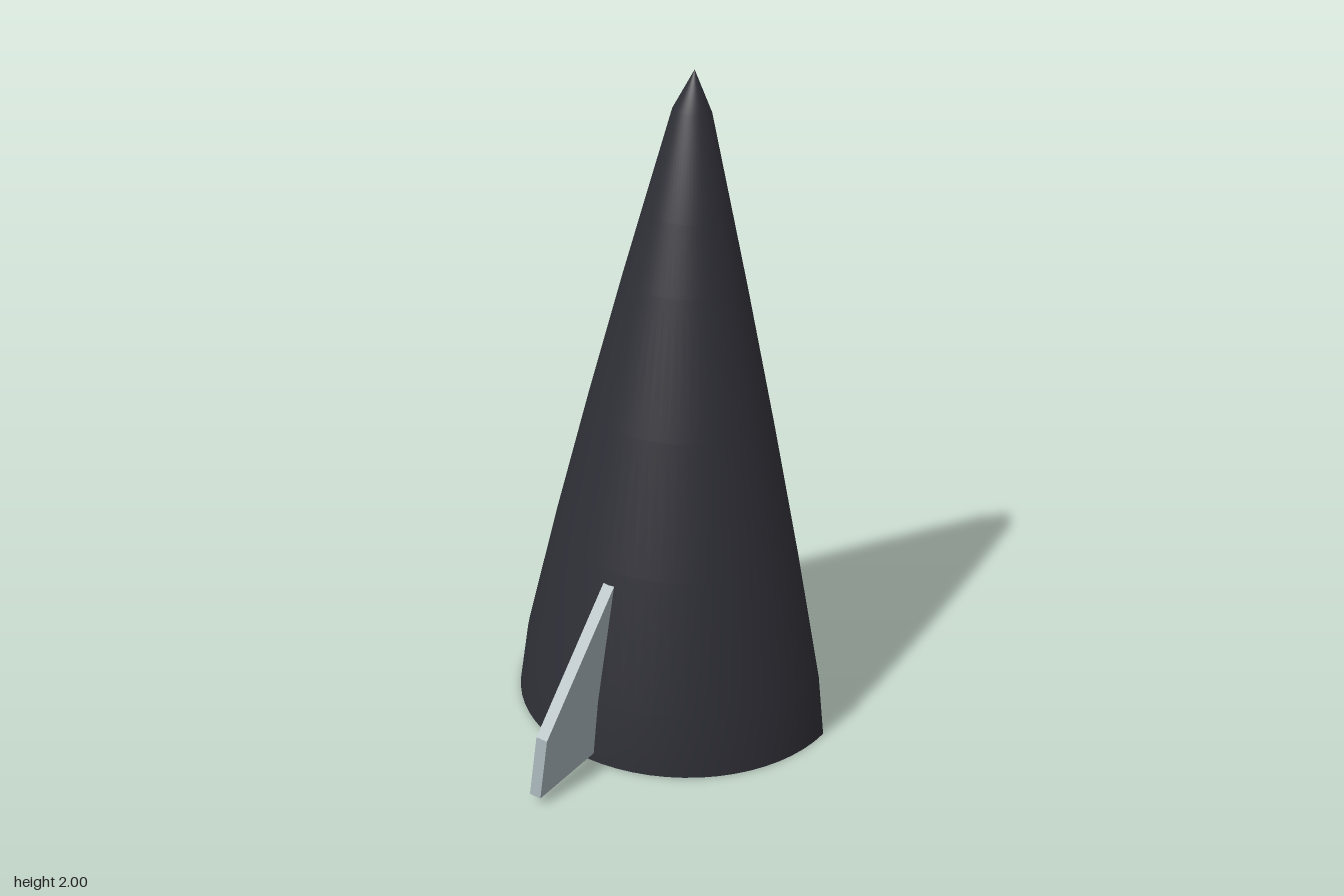
import * as THREE from 'three';

const AXIS_Z = -0.39; // centre line of the half cone

export function createModel() {
  const model = new THREE.Group();
  model.name = 'halfNoseCone';

  const shellMaterial = new THREE.MeshStandardMaterial({ color: 0x2e2e36, side: THREE.DoubleSide });
  shellMaterial.name = 'dark charcoal';
  const finMaterial = new THREE.MeshStandardMaterial({ color: 0xa3afb3 });
  finMaterial.name = 'pale grey';

  // Open half shell: profile of [radius, height], revolved over the front half
  const profile = [
    [0.52, 0], [0.493, 0.2], [0.4, 0.6], [0.3, 1.0],
    [0.195, 1.4], [0.14, 1.6], [0.06, 1.89], [0, 2],
  ].map(([r, y]) => new THREE.Vector2(r, y));
  const shell = new THREE.Mesh(
    new THREE.LatheGeometry(profile, 32, -Math.PI / 2, Math.PI), shellMaterial);
  shell.name = 'coneShell';
  shell.position.z = AXIS_Z;
  model.add(shell);

  // Swept fin that passes through the shell: outline of [z, y]
  const outline = [
    [0.392, 0.025], [0.355, 0.205], [-0.13, 0.715], [-0.21, 0.715], [0.075, 0.025],
  ].map(([z, y]) => new THREE.Vector2(z, y));
  const thickness = 0.038;
  const finGeometry = new THREE.ExtrudeGeometry(new THREE.Shape(outline), {
    depth: thickness, bevelEnabled: false,
  });
  finGeometry.translate(0, 0, -thickness / 2);
  finGeometry.rotateY(-Math.PI / 2);
  const fin = new THREE.Mesh(finGeometry, finMaterial);
  fin.name = 'fin';
  model.add(fin);

  return model;
}
